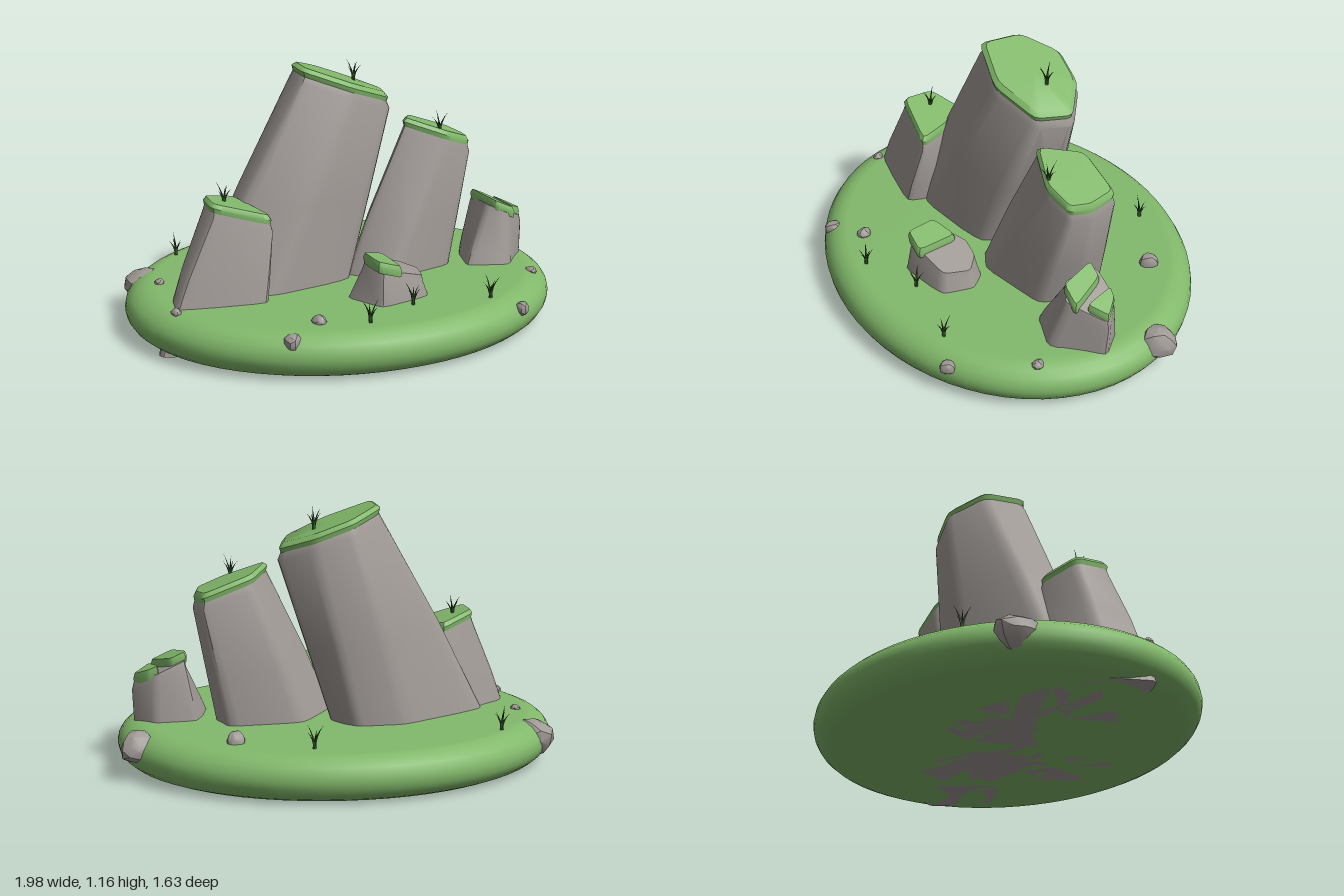
import * as THREE from 'three';
import { mergeVertices, toCreasedNormals } from 'three/addons/utils/BufferGeometryUtils.js';

const mat = (name, color) => Object.assign(new THREE.MeshStandardMaterial({ color }), { name });

// Replace every corner of a closed ring with a small three-point curve
function roundRing(ring, cut) {
  const n = ring.length;
  return ring.flatMap((p, i) => {
    const a = p.clone().lerp(ring[(i + n - 1) % n], cut);
    const b = p.clone().lerp(ring[(i + 1) % n], cut);
    const mid = a.clone().add(b).multiplyScalar(0.25).addScaledVector(p, 0.5);
    return [a, mid, b];
  });
}

const centreOf = (ring) => ring.reduce((s, p) => s.add(p), new THREE.Vector3()).divideScalar(ring.length);

// Copy of a ring, scaled about its centre and raised by dy
function resized(ring, scale, dy) {
  const c = centreOf(ring);
  return ring.map((p) => {
    const q = p.clone().sub(c).multiplyScalar(scale).add(c);
    q.y += dy;
    return q;
  });
}

// Closed skin through rings that run clockwise seen from above
function loft(rings) {
  const rounded = rings.map((r) => roundRing(r, 0.15));
  const n = rounded[0].length;
  const pts = rounded.flat();
  const index = [];
  for (let j = 0; j < rounded.length - 1; j++) {
    for (let i = 0; i < n; i++) {
      const a = j * n + i, b = j * n + ((i + 1) % n), c = b + n, d = a + n;
      index.push(a, c, b, a, d, c);
    }
  }
  const last = (rounded.length - 1) * n;
  const base = pts.push(centreOf(rounded[0])) - 1;
  const top = pts.push(centreOf(rounded[rounded.length - 1])) - 1;
  for (let i = 0; i < n; i++) {
    const k = (i + 1) % n;
    index.push(base, i, k, top, last + k, last + i);
  }
  const geo = new THREE.BufferGeometry().setFromPoints(pts);
  geo.setIndex(index);
  return toCreasedNormals(geo, 0.7);
}

// Lay [x, z] corners on a plane that falls towards +x
const onPlane = (corners, height, fall) =>
  corners.map(([x, z]) => new THREE.Vector3(x, height - fall * x, z));

// Leaning rock column from a ground ring to a top ring
function rockGeometry(bottom, top) {
  const mid = resized(bottom.map((p, i) => p.clone().lerp(top[i], 0.55)), 1.02, 0);
  return loft([bottom, mid, resized(top, 1, -0.035), resized(top, 0.93, 0)]);
}

// Thin moss slab lying over a ring
const mossGeometry = (ring) =>
  loft([resized(ring, 0.98, -0.015), resized(ring, 1.02, 0.015), resized(ring, 0.92, 0.035)]);

// Irregular rounded stone
function pebbleGeometry(seed) {
  let geo = new THREE.IcosahedronGeometry(1, 1);
  geo.deleteAttribute('normal');
  geo.deleteAttribute('uv');
  geo = mergeVertices(geo);
  const p = geo.attributes.position;
  for (let i = 0; i < p.count; i++) {
    const x = p.getX(i), y = p.getY(i), z = p.getZ(i);
    const r = 1 + 0.13 * Math.sin(2.7 * x + seed) * Math.cos(2.3 * z - seed) + 0.07 * Math.sin(4 * y + seed * 2);
    p.setXYZ(i, x * r, y * r, z * r);
  }
  return toCreasedNormals(geo, 0.5);
}

// Grass blade that curves outwards
function bladeGeometry(height, lean) {
  const geo = new THREE.ConeGeometry(0.008, height, 4, 4);
  geo.translate(0, height / 2, 0);
  const p = geo.attributes.position;
  for (let i = 0; i < p.count; i++) {
    const t = p.getY(i) / height;
    p.setX(i, p.getX(i) + lean * t * t);
  }
  geo.computeVertexNormals();
  return geo;
}

export function createModel() {
  const grass = mat('grass green', 0x82b96b);
  const stone = mat('stone grey', 0xa09a96);
  const darkGrass = mat('dark blade green', 0x34562a);
  const model = new THREE.Group();
  model.name = 'rockyIsland';
  const add = (name, geo, material, parent = model) => {
    const mesh = new THREE.Mesh(geo, material);
    mesh.name = name;
    parent.add(mesh);
    return mesh;
  };

  // Rounded oval ground
  const profile = [new THREE.Vector2(0, 0)];
  for (let i = 0; i <= 10; i++) {
    const a = (i / 10 - 0.5) * Math.PI;
    profile.push(new THREE.Vector2(0.86 + 0.13 * Math.cos(a), 0.1 + 0.1 * Math.sin(a)));
  }
  profile.push(new THREE.Vector2(0, 0.2));
  const ground = add('ground', new THREE.LatheGeometry(profile, 64), grass);
  ground.scale.z = 0.825;
  ground.position.x = -0.01;

  // Rock from footprint and sloped top, with moss on the top or on given patches
  const addRock = (name, height, fall, foot, top, patches = [top]) => {
    const group = new THREE.Group();
    group.name = name;
    model.add(group);
    add(name + 'Body', rockGeometry(onPlane(foot, 0, 0), onPlane(top, height, fall)), stone, group);
    for (const patch of patches) {
      add('moss', mossGeometry(resized(onPlane(patch, height, fall), 0.95, 0)), grass, group);
    }
  };
  addRock('mainRock', 1.06, 0.37,
    [[-0.78, 0.08], [-0.78, -0.07], [-0.32, -0.31], [-0.1, -0.31], [-0.02, -0.18], [-0.06, 0.16], [-0.5, 0.25]],
    [[-0.2, 0.03], [-0.19, -0.17], [-0.04, -0.3], [0.13, -0.29], [0.28, -0.18], [0.24, -0.01], [0.03, 0.08]]);
  addRock('rightRock', 0.97, 0.36,
    [[-0.09, 0.08], [0.1, -0.2], [0.46, -0.21], [0.51, -0.08], [0.45, 0.13], [0.06, 0.24]],
    [[0.28, 0.02], [0.38, -0.18], [0.61, -0.2], [0.64, -0.06], [0.62, 0.04], [0.48, 0.08]]);
  addRock('leftRock', 0.415, 0.29,
    [[-0.93, 0.26], [-0.88, 0.07], [-0.7, -0.1], [-0.41, 0.1], [-0.48, 0.33]],
    [[-0.67, 0.2], [-0.67, 0.04], [-0.5, -0.06], [-0.44, 0.08], [-0.39, 0.23]]);
  addRock('farRightRock', 0.776, 0.45,
    [[0.48, 0.19], [0.6, -0.09], [0.82, -0.1], [0.9, 0.02], [0.74, 0.26]],
    [[0.68, 0.1], [0.67, -0.07], [0.81, -0.08], [0.92, 0.01], [0.77, 0.15]],
    [[[0.72, 0.13], [0.66, -0.05], [0.74, -0.05], [0.83, 0.13]],
      [[0.83, 0.08], [0.79, -0.07], [0.84, -0.06], [0.91, 0.01]]]);
  addRock('frontRock', 0.358, 0.31,
    [[-0.18, 0.34], [0.1, 0.2], [0.24, 0.21], [0.32, 0.31], [0.28, 0.48], [-0.01, 0.54]],
    [[-0.04, 0.35], [0.09, 0.25], [0.18, 0.25], [0.25, 0.31], [0.22, 0.44], [0, 0.5]],
    [[[-0.02, 0.5], [-0.04, 0.35], [0.08, 0.29], [0.1, 0.5]]]);

  // Loose pebbles: position and radius
  const pebbles = [
    [-0.86, 0.12, -0.32, 0.095], [0.9, 0.14, -0.26, 0.08], [-0.83, 0.2, -0.12, 0.023],
    [0.5, 0.21, -0.47, 0.042], [0.82, 0.19, 0.3, 0.026], [0.61, 0.15, 0.62, 0.033],
    [-0.32, 0.205, 0.58, 0.032], [-0.47, 0.165, 0.67, 0.04], [-0.85, 0.2, 0.26, 0.023],
  ];
  pebbles.forEach(([x, y, z, r], i) => {
    const pebble = add('pebble', pebbleGeometry(i * 1.7), stone);
    pebble.position.set(x, y, z);
    pebble.scale.set(r * 0.95, r * 0.9, r * 1.05);
  });

  // Grass tufts on the ground and on the moss
  const addTuft = (x, z, y = 0.2) => {
    const tuft = new THREE.Group();
    tuft.name = 'grassTuft';
    tuft.position.set(x, y, z);
    tuft.rotation.y = x * 9;
    for (let i = 0; i < 5; i++) {
      const blade = add('blade', bladeGeometry(0.075 + 0.013 * ((i * 2) % 4), 0.035 + 0.005 * (i % 2)), darkGrass, tuft);
      blade.rotation.y = (i / 5) * Math.PI * 2;
    }
    model.add(tuft);
  };
  addTuft(0.19, -0.62);
  addTuft(-0.66, -0.47);
  addTuft(0.48, 0.57);
  addTuft(0.13, 0.53);
  addTuft(-0.12, 0.66);
  addTuft(0.11, -0.14, 1.05);
  addTuft(0.46, 0.05, 0.82);
  addTuft(-0.58, 0.09, 0.6);
  return model;
}
